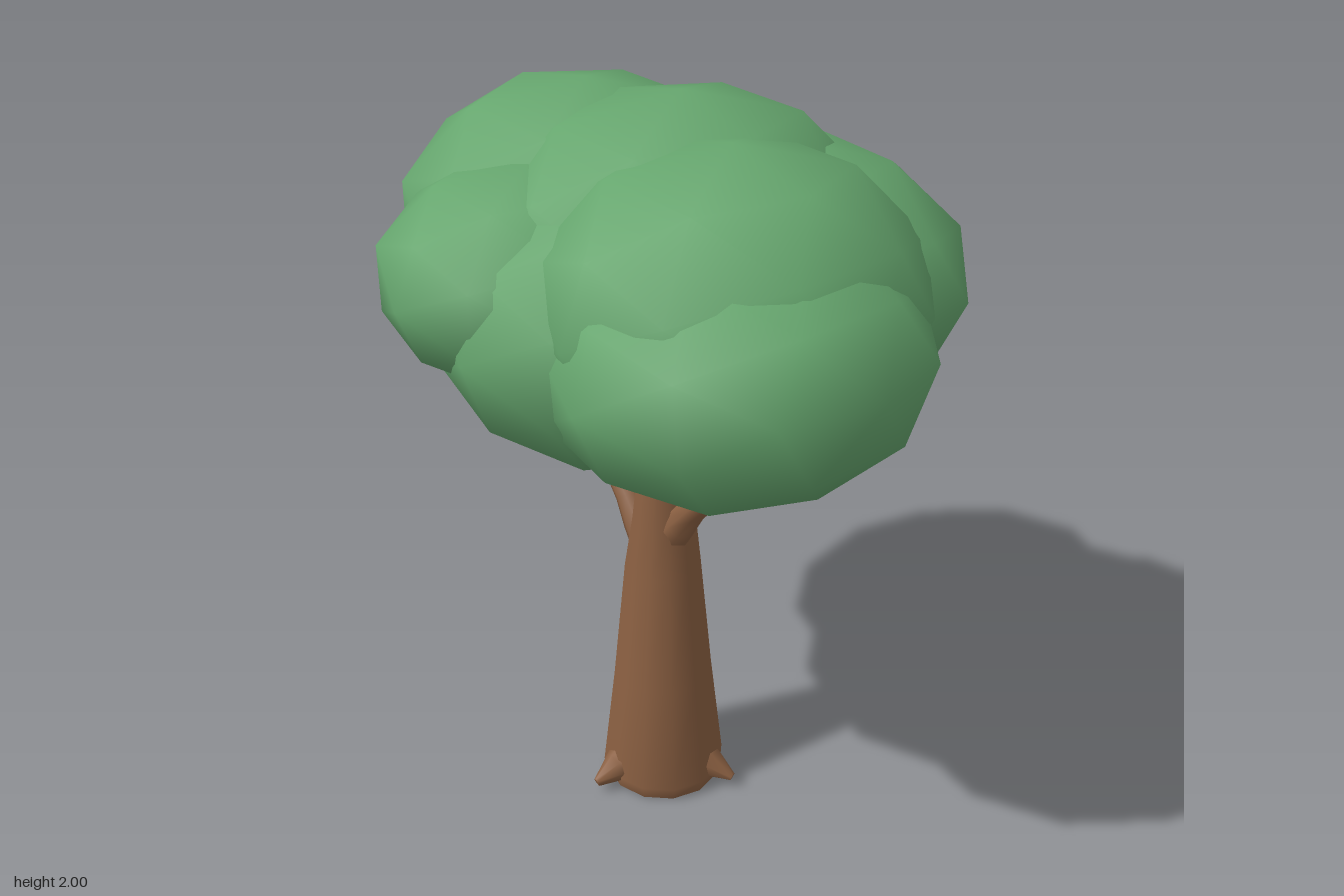
import * as THREE from 'three';

const bark = new THREE.MeshStandardMaterial({ color: 0x8b6042 });
const leaf = new THREE.MeshStandardMaterial({ color: 0x66a66e });

// Tapered limb swept through rings given as [x, y, z, radius], closed at both ends
function limb(name, rings, sides) {
  const first = new THREE.Vector3(...rings[0].slice(0, 3));
  const last = new THREE.Vector3(...rings[rings.length - 1].slice(0, 3));
  const axis = last.clone().sub(first).normalize();
  const turn = new THREE.Quaternion().setFromUnitVectors(new THREE.Vector3(0, 1, 0), axis);
  const pos = [], index = [];
  const addRing = ([x, y, z, r]) => {
    for (let i = 0; i < sides; i++) {
      const a = (i / sides) * Math.PI * 2;
      const p = new THREE.Vector3(Math.sin(a) * r, 0, Math.cos(a) * r).applyQuaternion(turn);
      pos.push(p.x + x, p.y + y, p.z + z);
    }
  };
  rings.forEach(addRing);
  for (let j = 0; j < rings.length - 1; j++) {
    for (let i = 0; i < sides; i++) {
      const a = j * sides + i, b = j * sides + (i + 1) % sides;
      index.push(a, b, b + sides, a, b + sides, a + sides);
    }
  }
  // end caps on their own vertices, so that the rims stay sharp
  [rings[0], rings[rings.length - 1]].forEach((ring, end) => {
    const s = pos.length / 3;
    addRing(ring);
    for (let i = 1; i < sides - 1; i++) {
      index.push(s, end ? s + i : s + i + 1, end ? s + i + 1 : s + i);
    }
  });
  const geo = new THREE.BufferGeometry();
  geo.setAttribute('position', new THREE.Float32BufferAttribute(pos, 3));
  geo.setIndex(index);
  geo.computeVertexNormals();
  const mesh = new THREE.Mesh(geo, bark);
  mesh.name = name;
  return mesh;
}

// Low-poly ellipsoid clump of leaves; yaw turns it about y, roll lifts its +x end
function clump(name, center, radii, yaw = 0, roll = 0) {
  const geo = new THREE.IcosahedronGeometry(1, 1);
  geo.scale(...radii);
  geo.rotateZ(roll);
  geo.rotateY(yaw);
  geo.translate(...center);
  const mesh = new THREE.Mesh(geo, leaf);
  mesh.name = name;
  return mesh;
}

export function createModel() {
  const tree = new THREE.Group();
  tree.name = 'tree';

  // Trunk, branches and root nubs
  const wood = new THREE.Group();
  wood.name = 'wood';
  wood.add(
    limb('trunk', [
      [-0.03, 0, 0, 0.16], [-0.03, 0.04, 0, 0.172], [-0.03, 0.35, 0, 0.137],
      [-0.03, 0.7, 0, 0.104], [-0.025, 0.85, 0, 0.085], [-0.015, 1.15, 0.005, 0.055],
      [-0.01, 1.3, 0.005, 0.045],
    ], 12),
    limb('rightBranch', [
      [-0.05, 0.7, 0, 0.06], [-0.12, 0.79, 0.005, 0.048], [-0.17, 0.85, 0.005, 0.036],
      [-0.29, 0.985, 0.01, 0.024], [-0.365, 1.065, 0.01, 0.014], [-0.38, 1.08, 0.01, 0.006],
    ], 8),
    limb('leftBranch', [
      [-0.02, 0.77, 0, 0.06], [0.05, 0.865, 0.005, 0.048], [0.1, 0.925, 0.005, 0.036],
      [0.23, 1.065, 0.01, 0.024], [0.31, 1.15, 0.015, 0.014], [0.325, 1.168, 0.015, 0.006],
    ], 8),
    limb('leftRoot', [[0.05, 0.08, -0.03, 0.075], [0.11, 0.055, -0.06, 0.045], [0.175, 0.03, -0.085, 0.012]], 8),
    limb('frontRoot', [[-0.04, 0.08, 0.09, 0.075], [-0.05, 0.055, 0.155, 0.045], [-0.055, 0.03, 0.225, 0.012]], 8),
  );
  tree.add(wood);

  // Overlapping clumps of the crown
  const crown = new THREE.Group();
  crown.name = 'crown';
  crown.add(
    clump('topClump', [-0.02, 1.62, -0.05], [0.47, 0.38, 0.52]),
    clump('upperRightClump', [-0.32, 1.61, 0], [0.5, 0.36, 0.48]),
    clump('lowerRightClump', [-0.39, 1.53, -0.09], [0.455, 0.35, 0.51]),
    clump('upperLeftClump', [0.27, 1.61, 0.05], [0.47, 0.36, 0.49]),
    clump('lowerLeftClump', [0.36, 1.505, 0.12], [0.485, 0.335, 0.46], 0, 0.14),
    clump('backClump', [0.13, 1.56, -0.21], [0.52, 0.33, 0.47], -0.1),
    clump('frontClump', [-0.18, 1.585, 0.27], [0.38, 0.275, 0.4]),
    clump('bottomClump', [0, 1.5, 0.15], [0.45, 0.365, 0.47]),
  );
  tree.add(crown);
  return tree;
}
